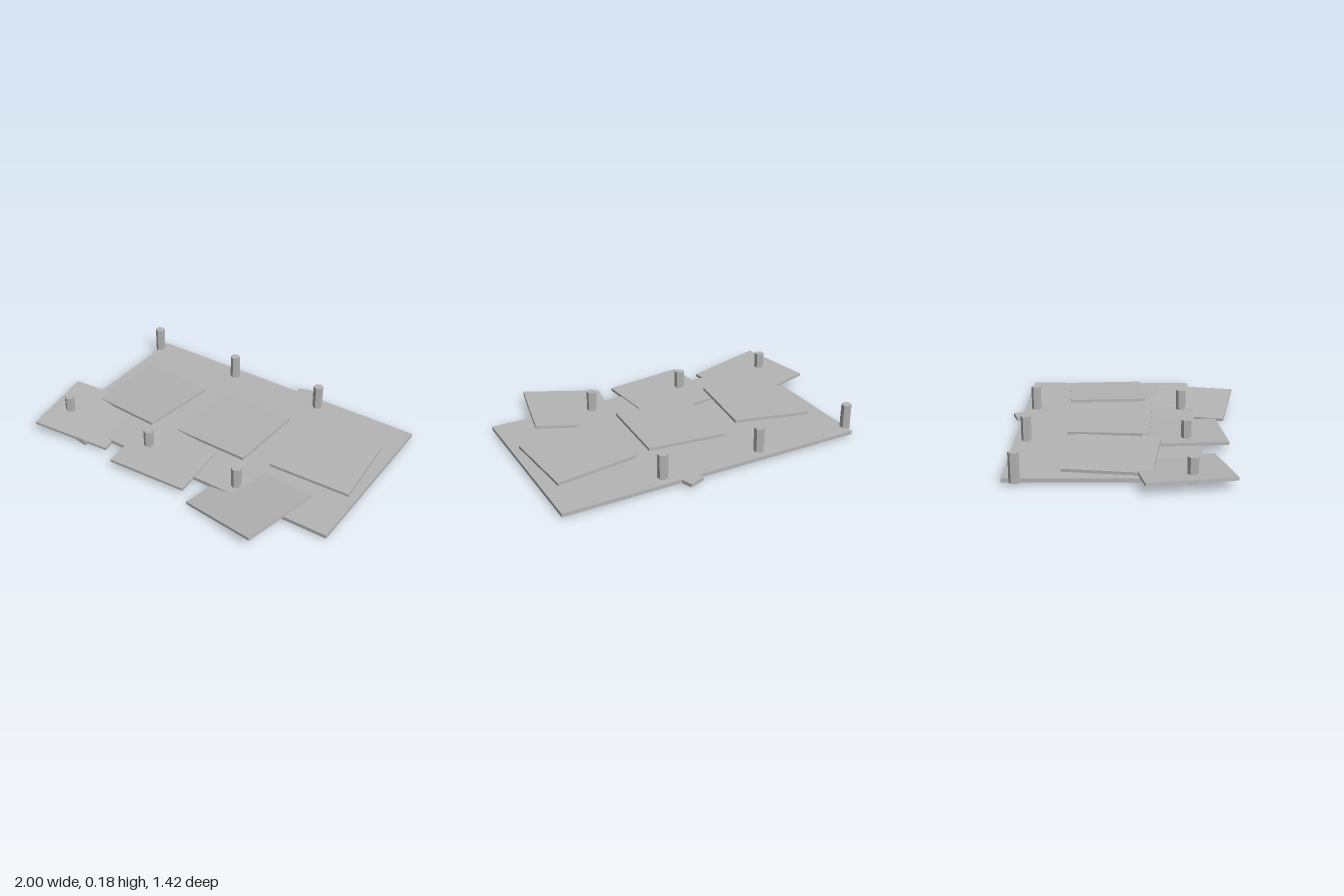
import * as THREE from 'three';

export function createModel() {
  const model = new THREE.Group();
  const grey = new THREE.MeshStandardMaterial({ color: 0xb4b4b4 });
  grey.name = 'plainGrey';

  const add = (name, geometry, x, y, z, yaw = 0, roll = 0) => {
    const mesh = new THREE.Mesh(geometry, grey);
    mesh.name = name;
    mesh.position.set(x, y, z);
    mesh.rotation.set(0, yaw, roll, 'YXZ');
    model.add(mesh);
  };

  // Flat base slab
  add('baseSlab', new THREE.BoxGeometry(1.84, 0.021, 1.07), 0.08, 0.0225, -0.11);

  // Hexagonal posts, the back row taller than the front row
  for (const [row, z, top] of [['back', -0.575, 0.179], ['front', 0.35, 0.157]]) {
    for (const x of [-0.84, -0.23, 0.385]) {
      const post = new THREE.CylinderGeometry(0.03, 0.03, top - 0.012, 6).toNonIndexed();
      post.computeVertexNormals(); // hard facets
      add(row + 'Post', post, x, (top + 0.012) / 2, z);
    }
  }

  // Tilted square panels: centre x, centre z, yaw, top height at left and right edge
  const size = 0.486, thick = 0.017;
  const panels = [
    [-0.532, -0.07, -0.13, 0.05, 0.081],
    [0.08, -0.09, -0.055, 0.055, 0.072],
    [0.693, -0.134, 0.077, 0.075, 0.055],
    [-0.72, 0.3, 0.167, 0.072, 0.029],
    [-0.104, 0.329, 0.078, 0.055, 0.04],
    [0.511, 0.42, -0.21, 0.017, 0.074],
  ];
  const panel = new THREE.BoxGeometry(size, thick, size);
  for (const [x, z, yaw, low, high] of panels) {
    const roll = Math.asin((high - low) / size);
    add('tiltedPanel', panel, x, (low + high) / 2 - thick / 2, z, yaw, roll);
  }

  // Small loose chips jutting past the slab edges
  add('backChip', new THREE.BoxGeometry(0.1, 0.021, 0.14), 0.26, 0.0228, -0.628, 0.32);
  add('frontChip', new THREE.BoxGeometry(0.1, 0.021, 0.14), -0.61, 0.0228, 0.455, -0.14);

  return model;
}
